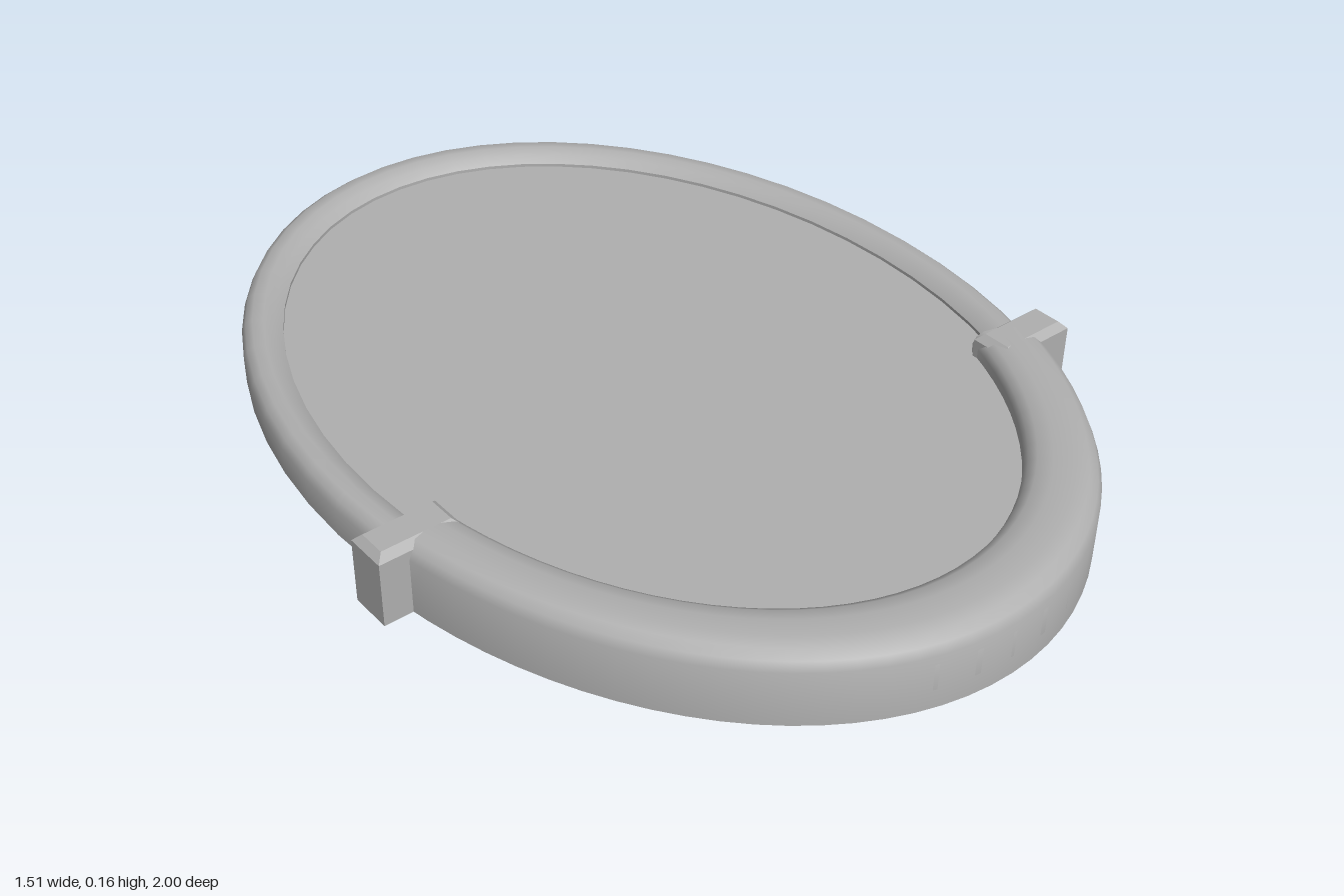
import * as THREE from 'three';
import { toCreasedNormals } from 'three/addons/utils/BufferGeometryUtils.js';

const CX = 0.02; // shared centre of the ovals

// Sweeps a profile of [inset, y] around an oval; inset 0 is the outer edge, 1 the inner edge.
function ovalSweep(profile, outer, inner, start, end, segments, caps) {
  const positions = [];
  const n = profile.length;
  const point = (i, j) => {
    const a = start + ((end - start) * i) / segments;
    const [t, y] = profile[j % n];
    const rx = outer[0] + (inner[0] - outer[0]) * t;
    const rz = outer[1] + (inner[1] - outer[1]) * t;
    return [CX + rx * Math.sin(a), y, rz * Math.cos(a)];
  };
  const tri = (a, b, c) => positions.push(...a, ...b, ...c);
  for (let i = 0; i < segments; i++) {
    for (let j = 0; j < n; j++) {
      const a = point(i, j), b = point(i + 1, j), c = point(i + 1, j + 1), d = point(i, j + 1);
      tri(a, b, c);
      tri(a, c, d);
    }
  }
  if (caps) {
    for (let j = 1; j < n - 1; j++) {
      tri(point(0, 0), point(0, j), point(0, j + 1));
      tri(point(segments, 0), point(segments, j + 1), point(segments, j));
    }
  }
  const geometry = new THREE.BufferGeometry();
  geometry.setAttribute('position', new THREE.Float32BufferAttribute(positions, 3));
  return toCreasedNormals(geometry, 0.65);
}

// Upright block whose top edges are chamfered.
function lugGeometry(width, height, depth, chamfer) {
  const geometry = new THREE.BoxGeometry(width, height, depth, 1, 2, 1);
  const p = geometry.attributes.position;
  for (let i = 0; i < p.count; i++) {
    const y = p.getY(i);
    if (y > height / 4) {
      p.setX(i, p.getX(i) - Math.sign(p.getX(i)) * chamfer);
      p.setZ(i, p.getZ(i) - Math.sign(p.getZ(i)) * chamfer);
    } else if (y > -height / 4) {
      p.setY(i, height / 2 - chamfer);
    }
  }
  geometry.translate(0, height / 2, 0);
  return toCreasedNormals(geometry, 0.5);
}

export function createModel() {
  const model = new THREE.Group();
  const grey = new THREE.MeshStandardMaterial({ color: 0xb0b0b0 });
  grey.name = 'grey';

  const add = (name, geometry) => {
    const mesh = new THREE.Mesh(geometry, grey);
    mesh.name = name;
    model.add(mesh);
    return mesh;
  };

  // Flat oval panel
  const panel = add('panel', new THREE.CylinderGeometry(1, 1, 0.08, 48));
  panel.scale.set(0.665, 1, 0.92);
  panel.position.set(CX, 0.061, 0);

  // Slim rim with a rounded top and a chamfered underside
  const rimProfile = [
    [0.3, 0.022], [0, 0.042], [0, 0.1], [0.1, 0.118], [0.28, 0.13],
    [0.55, 0.131], [0.8, 0.123], [1, 0.108], [1, 0.022],
  ];
  add('rim', ovalSweep(rimProfile, [0.732, 1.0], [0.65, 0.905], 0, Math.PI * 2, 56, false));

  // Thick clamp wrapped around the front of the rim
  const clampProfile = [
    [0, 0], [0, 0.12], [0.06, 0.138], [0.18, 0.151], [0.36, 0.155],
    [0.64, 0.155], [0.84, 0.149], [0.95, 0.138], [1, 0.122], [1, 0],
  ];
  const clampStart = -Math.acos(0.19);
  const clampEnd = Math.acos(0.44);
  add('clamp', ovalSweep(clampProfile, [0.735, 1.0], [0.61, 0.842], clampStart, clampEnd, 36, true));

  // Lugs at the two ends of the clamp
  add('rightLug', lugGeometry(0.178, 0.155, 0.09, 0.015)).position.set(-0.669, 0, 0.177);
  add('leftLug', lugGeometry(0.178, 0.155, 0.09, 0.015)).position.set(0.648, 0, 0.426);

  return model;
}
